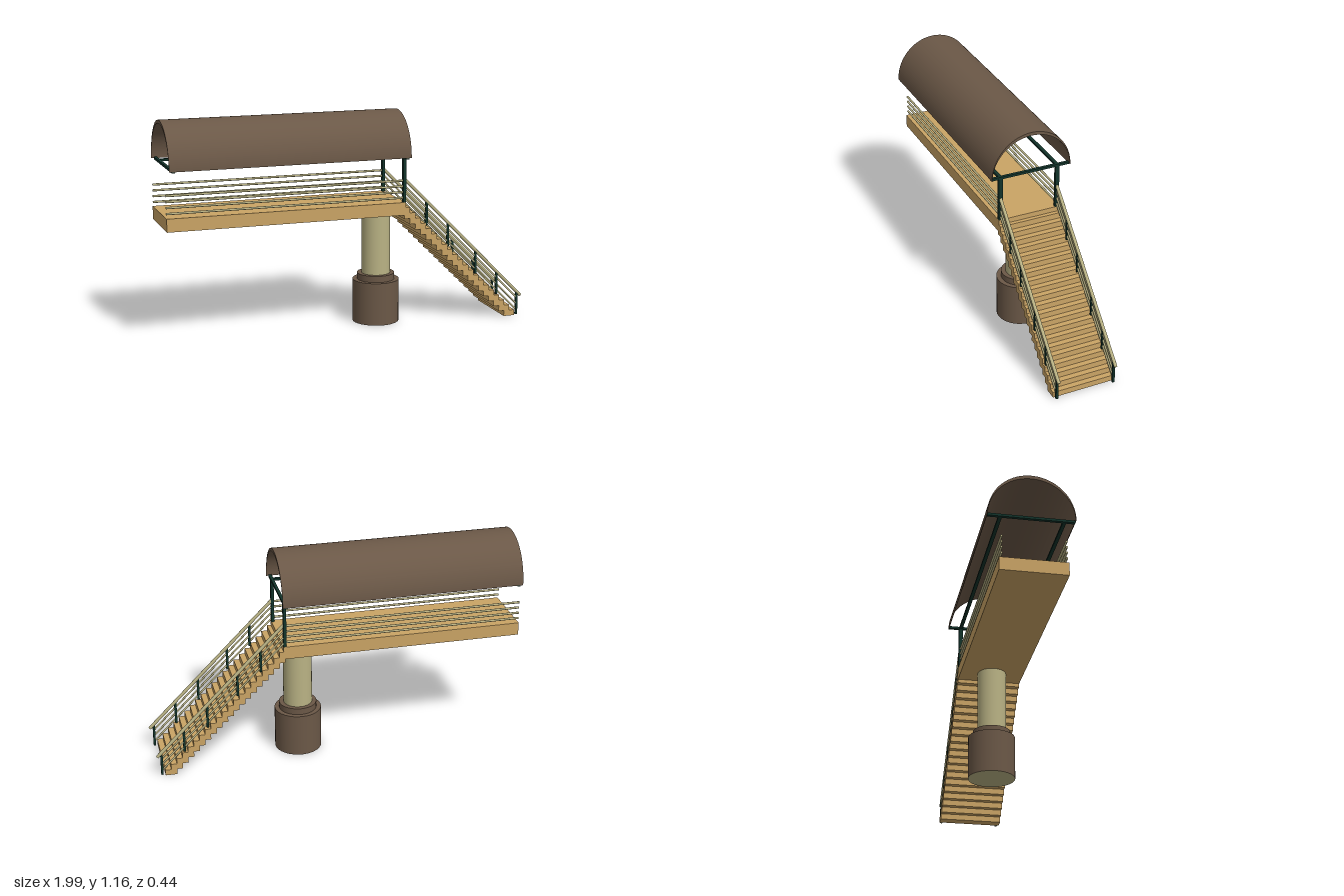
import * as THREE from 'three';

export function createModel() {
  const model = new THREE.Group();
  model.name = 'coveredPlatform';

  const mat = (name, color) => {
    const m = new THREE.MeshStandardMaterial({ color });
    m.name = name;
    return m;
  };
  const brown = mat('brown', 0x6b5847);
  const tan = mat('tan', 0xcaa465);
  const olive = mat('paleOlive', 0xb9b284);
  const green = mat('darkGreen', 0x12332a);

  const add = (name, geometry, material) => {
    const mesh = new THREE.Mesh(geometry, material);
    mesh.name = name;
    model.add(mesh);
    return mesh;
  };
  // Box given by its extents on each axis
  const box = (name, material, [x0, x1], [y0, y1], [z0, z1]) => {
    const mesh = add(name, new THREE.BoxGeometry(x1 - x0, y1 - y0, z1 - z0), material);
    mesh.position.set((x0 + x1) / 2, (y0 + y1) / 2, (z0 + z1) / 2);
    return mesh;
  };
  // Round bar between two points at one depth
  const bar = (name, xa, ya, xb, yb, z, radius) => {
    const dx = xb - xa, dy = yb - ya;
    const mesh = add(name, new THREE.CylinderGeometry(radius, radius, Math.hypot(dx, dy), 12), olive);
    mesh.position.set((xa + xb) / 2, (ya + yb) / 2, z);
    mesh.rotation.z = Math.atan2(dy, dx) - Math.PI / 2;
  };

  const centreZ = 0.006;
  const width = [-0.167, 0.179];
  const sides = [-0.155, 0.167];

  // Deck
  box('deck', tan, [-1, 0.298], [0.615, 0.685], width);

  // Pillar on a stepped footing
  const drum = (name, radius, y0, y1, material) => {
    const mesh = add(name, new THREE.CylinderGeometry(radius, radius, y1 - y0, 32), material);
    mesh.position.set(0.19, (y0 + y1) / 2, centreZ);
  };
  drum('pillar', 0.078, 0.27, 0.616, olive);
  drum('footingCollar', 0.102, 0.23, 0.27, brown);
  drum('footing', 0.127, 0, 0.235, [brown, brown, olive]);

  // Stairs: overlapping blocks
  for (let i = 0; i < 21; i++) {
    const right = 0.95 - i * 0.0315;
    const bottom = i * 0.0313;
    box('step', tan, [right - 0.063, right], [bottom, bottom + 0.0313], width);
  }

  // Railings, posts and long roof beams on both sides
  const railY = x => 0.802 - 1.005 * (x - 0.3);
  for (const z of sides) {
    for (let i = 0; i < 4; i++) {
      const drop = i * 0.031;
      bar('deckRail', -1, 0.802 - drop, 0.292, 0.802 - drop, z, 0.006);
      const end = i === 0 ? 0.988 : 0.966;
      const lower = i * 0.035;
      bar(i === 0 ? 'stairHandrail' : 'stairRail',
        0.293, railY(0.293) - lower, end, railY(end) - lower, z, i === 0 ? 0.009 : 0.005);
    }
    for (const x of [0.42, 0.546, 0.712, 0.841, 0.966]) {
      box('stairPost', green, [x - 0.006, x + 0.006],
        [Math.max(0, railY(x) - 0.13), railY(x) - 0.004], [z - 0.006, z + 0.006]);
    }
    box('roofPost', green, [0.282, 0.298], [0.684, 0.926], [z - 0.011, z + 0.011]);
    box('roofBeam', green, [-0.97, 0.298], [0.925, 0.937], [z - 0.009, z + 0.009]);
  }
  for (const x of [-0.968, 0.29]) {
    box('roofCrossbeam', green, [x - 0.008, x + 0.008], [0.925, 0.938], [-0.22, 0.22]);
  }

  // Roof: crescent section swept along the deck
  const crescent = new THREE.Shape();
  crescent.absellipse(0, 0, 0.222, 0.233, 0, Math.PI, false);
  crescent.absellipse(0, 0, 0.219, 0.215, Math.PI, 0, true);
  crescent.closePath();
  const roofGeometry = new THREE.ExtrudeGeometry(crescent, { depth: 1.3, bevelEnabled: false, curveSegments: 36 });
  const roof = add('roof', roofGeometry, brown);
  roof.rotation.y = Math.PI / 2;
  roof.position.set(-0.99, 0.931, 0);

  return model;
}
